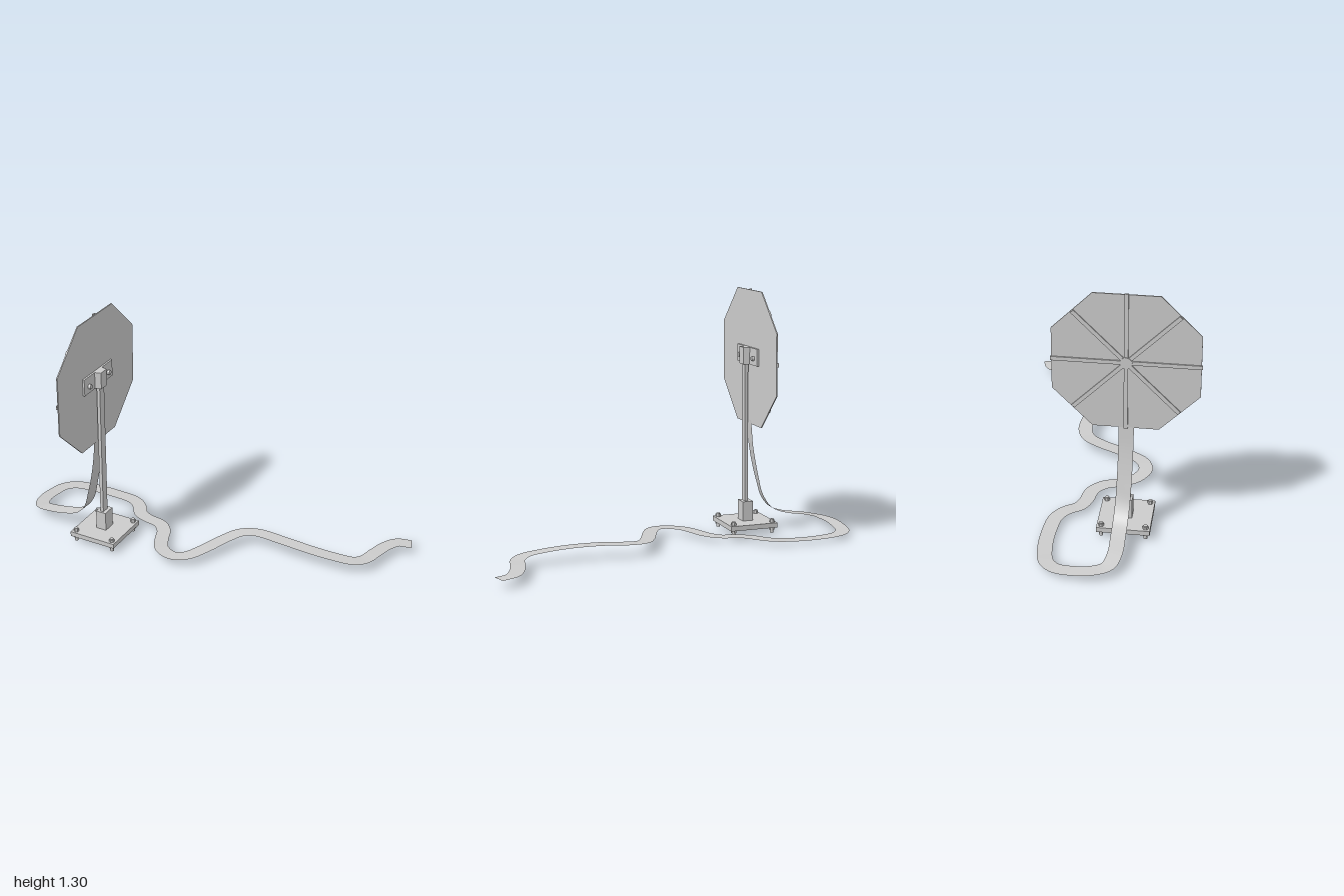
import * as THREE from 'three';

const grey = new THREE.MeshStandardMaterial({ color: 0xcccccc, flatShading: true });
const ribbonGrey = new THREE.MeshStandardMaterial({ color: 0xcccccc, side: THREE.DoubleSide });
const CX = -0.508, CZ = 0.157; // axis of the stand

export function createModel() {
  const model = new THREE.Group();
  const add = (name, geo, x, y, z, parent = model, mat = grey) => {
    const mesh = new THREE.Mesh(geo, mat);
    mesh.name = name;
    mesh.position.set(x, y, z);
    parent.add(mesh);
    return mesh;
  };

  // Base plate with four through-bolts, each with a nut above and below
  add('basePlate', new THREE.BoxGeometry(0.265, 0.026, 0.265), CX, 0.043, CZ);
  for (const sx of [-1, 1]) for (const sz of [-1, 1]) {
    const bolt = new THREE.Group();
    bolt.name = 'baseBolt';
    bolt.position.set(CX + sx * 0.11, 0, CZ + sz * 0.11);
    add('boltShank', new THREE.CylinderGeometry(0.01, 0.01, 0.075, 12), 0, 0.0375, 0, bolt);
    add('upperNut', new THREE.CylinderGeometry(0.014, 0.014, 0.014, 6), 0, 0.063, 0, bolt);
    add('lowerNut', new THREE.CylinderGeometry(0.014, 0.014, 0.014, 6), 0, 0.023, 0, bolt);
    model.add(bolt);
  }

  // Socket and slightly leaning post
  add('socket', new THREE.BoxGeometry(0.058, 0.106, 0.07), CX - 0.002, 0.108, CZ - 0.002);
  const post = add('post', new THREE.BoxGeometry(0.018, 0.85, 0.042), -0.505, 0.56, 0.159);
  post.rotation.z = -0.009;

  // Hat-section bracket that clamps the panel to the post
  const hat = new THREE.Shape([
    [-0.133, 0], [0.133, 0], [0.133, 0.01], [0.035, 0.01], [0.027, 0.042],
    [-0.027, 0.042], [-0.035, 0.01], [-0.133, 0.01],
  ].map(([z, x]) => new THREE.Vector2(x, -z)));
  const bracketGeo = new THREE.ExtrudeGeometry(hat, { depth: 0.09, bevelEnabled: false });
  bracketGeo.rotateX(-Math.PI / 2);
  add('bracket', bracketGeo, -0.522, 0.9, CZ);
  for (const s of [-1, 1]) {
    const bolt = add('bracketBolt', new THREE.CylinderGeometry(0.012, 0.012, 0.016, 12),
      -0.506, 0.937, CZ + s * 0.09);
    bolt.rotation.z = Math.PI / 2;
  }

  // Octagonal panel with ribs on its back, leaning very slightly
  const panel = new THREE.Group();
  panel.name = 'panel';
  panel.position.set(-0.526, 0.935, 0.155);
  panel.rotation.z = -0.008;
  const a = 0.355, b = 0.16;
  const octagon = new THREE.Shape([
    [b, a], [a, b], [a, -b], [b, -a], [-b, -a], [-a, -b], [-a, b], [-b, a],
  ].map(([u, v]) => new THREE.Vector2(u, v)));
  const plateGeo = new THREE.ExtrudeGeometry(octagon, { depth: 0.006, bevelEnabled: false });
  plateGeo.translate(0, 0, -0.003);
  plateGeo.rotateY(Math.PI / 2);
  add('panelPlate', plateGeo, 0, 0, 0, panel);
  for (let i = 0; i < 8; i++) {
    const ribGeo = new THREE.BoxGeometry(0.008, 0.36, 0.02);
    ribGeo.translate(-0.005, 0.18, 0);
    add('rib', ribGeo, 0, 0, 0, panel).rotation.x = i * Math.PI / 4;
  }
  const hub = add('hub', new THREE.CylinderGeometry(0.03, 0.03, 0.008, 16), -0.008, 0, 0, panel);
  hub.rotation.z = Math.PI / 2;
  model.add(panel);

  // Ribbon hanging from the panel and winding over the ground
  const path = [
    [-0.526, 0.6, 0.158], [-0.541, 0.45, 0.157], [-0.575, 0.28, 0.154], [-0.607, 0.175, 0.15],
    [-0.655, 0.115, 0.147], [-0.73, 0.085, 0.146], [-0.85, 0.065, 0.145], [-0.93, 0.048, 0.12],
    [-0.963, 0.04, 0.05], [-0.965, 0.031, -0.05], [-0.948, 0.026, -0.13], [-0.9, 0.023, -0.18],
    [-0.8, 0.02, -0.204], [-0.65, 0.02, -0.208], [-0.53, 0.024, -0.19], [-0.47, 0.026, -0.145],
    [-0.43, 0.025, -0.09], [-0.37, 0.026, -0.062], [-0.285, 0.028, -0.043], [-0.23, 0.03, 0.01],
    [-0.2, 0.03, 0.085], [-0.155, 0.033, 0.165], [-0.07, 0.037, 0.207], [0.0, 0.042, 0.18],
    [0.05, 0.047, 0.1], [0.12, 0.055, -0.06], [0.165, 0.06, -0.128], [0.24, 0.066, -0.158],
    [0.4, 0.073, -0.145], [0.56, 0.071, -0.136], [0.7, 0.064, -0.145], [0.79, 0.057, -0.165],
    [0.835, 0.052, -0.21], [0.86, 0.05, -0.3], [0.885, 0.047, -0.39], [0.925, 0.044, -0.455],
    [0.995, 0.04, -0.478],
  ];
  const curve = new THREE.CatmullRomCurve3(path.map((p) => new THREE.Vector3(...p)));
  const steps = 200, half = 0.037, positions = [], index = [];
  for (let i = 0; i <= steps; i++) {
    const p = curve.getPointAt(i / steps), t = curve.getTangentAt(i / steps);
    const side = new THREE.Vector3(-t.z, 0, t.x).normalize().multiplyScalar(half);
    positions.push(p.x - side.x, p.y, p.z - side.z, p.x + side.x, p.y, p.z + side.z);
    const k = i * 2;
    if (i < steps) index.push(k, k + 1, k + 2, k + 1, k + 3, k + 2);
  }
  const ribbonGeo = new THREE.BufferGeometry();
  ribbonGeo.setAttribute('position', new THREE.Float32BufferAttribute(positions, 3));
  ribbonGeo.setIndex(index);
  ribbonGeo.computeVertexNormals();
  add('ribbon', ribbonGeo, 0, 0, 0, model, ribbonGrey);

  return model;
}
